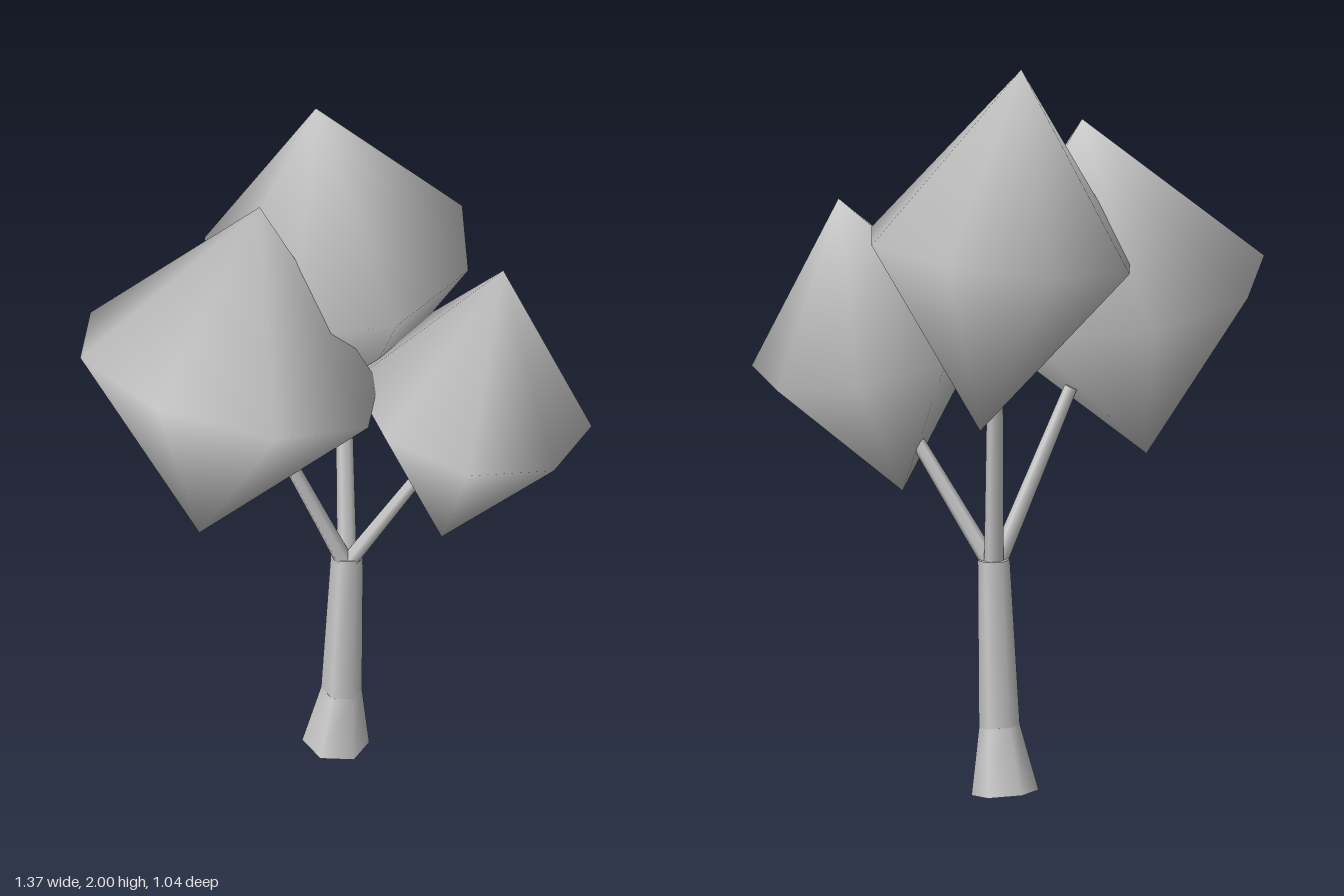
import * as THREE from 'three';

const UP = new THREE.Vector3(0, 1, 0);
const material = new THREE.MeshStandardMaterial({ color: 0xcccccc });

// Places a y-aligned mesh midway between two points, with its axis along them
function alignBetween(mesh, from, to) {
  const axis = to.clone().sub(from).normalize();
  mesh.quaternion.setFromUnitVectors(UP, axis);
  mesh.position.copy(from).add(to).multiplyScalar(0.5);
  return mesh;
}

// Six-sided tapered piece of wood
function limb(name, start, end, startRadius, endRadius) {
  const from = new THREE.Vector3(...start);
  const to = new THREE.Vector3(...end);
  const geometry = new THREE.CylinderGeometry(
    endRadius, startRadius, from.distanceTo(to), 6, 1, false, Math.PI / 2);
  const mesh = new THREE.Mesh(geometry, material);
  mesh.name = name;
  return alignBetween(mesh, from, to);
}

// Leaf clump: smooth eight-sided double cone between two tips
function leafClump(name, bottom, top, radiusX, radiusZ, spin) {
  const from = new THREE.Vector3(...bottom);
  const to = new THREE.Vector3(...top);
  const geometry = new THREE.SphereGeometry(1, 8, 2);
  geometry.scale(radiusX, from.distanceTo(to) / 2, radiusZ);
  geometry.rotateY(-THREE.MathUtils.degToRad(spin));
  const mesh = new THREE.Mesh(geometry, material);
  mesh.name = name;
  return alignBetween(mesh, from, to);
}

export function createModel() {
  const tree = new THREE.Group();
  tree.name = 'tree';

  // Trunk
  tree.add(
    limb('rootFlare', [0.015, 0.01, -0.004], [0.03, 0.19, 0], 0.09, 0.055),
    limb('trunk', [0.03, 0.185, 0], [0.045, 0.64, -0.002], 0.055, 0.043),
  );

  // Branches
  tree.add(
    limb('leftBranch', [0.055, 0.63, 0.012], [0.29, 1.02, 0.06], 0.024, 0.018),
    limb('rightBranch', [0.035, 0.63, 0.012], [-0.16, 1.1, 0.05], 0.024, 0.018),
    limb('backBranch', [0.045, 0.63, -0.01], [0.04, 1.2, -0.12], 0.026, 0.021),
  );

  // Leaves
  tree.add(
    leafClump('leftLeaves', [0.29, 0.8, 0.15], [0.46, 1.61, 0.05], 0.325, 0.395, 5),
    leafClump('rightLeaves', [-0.36, 0.89, 0.22], [-0.19, 1.83, 0.03], 0.44, 0.375, 35),
    leafClump('topLeaves', [0.08, 1.02, -0.175], [-0.03, 2.0, -0.175], 0.375, 0.375, 22),
  );

  return tree;
}
